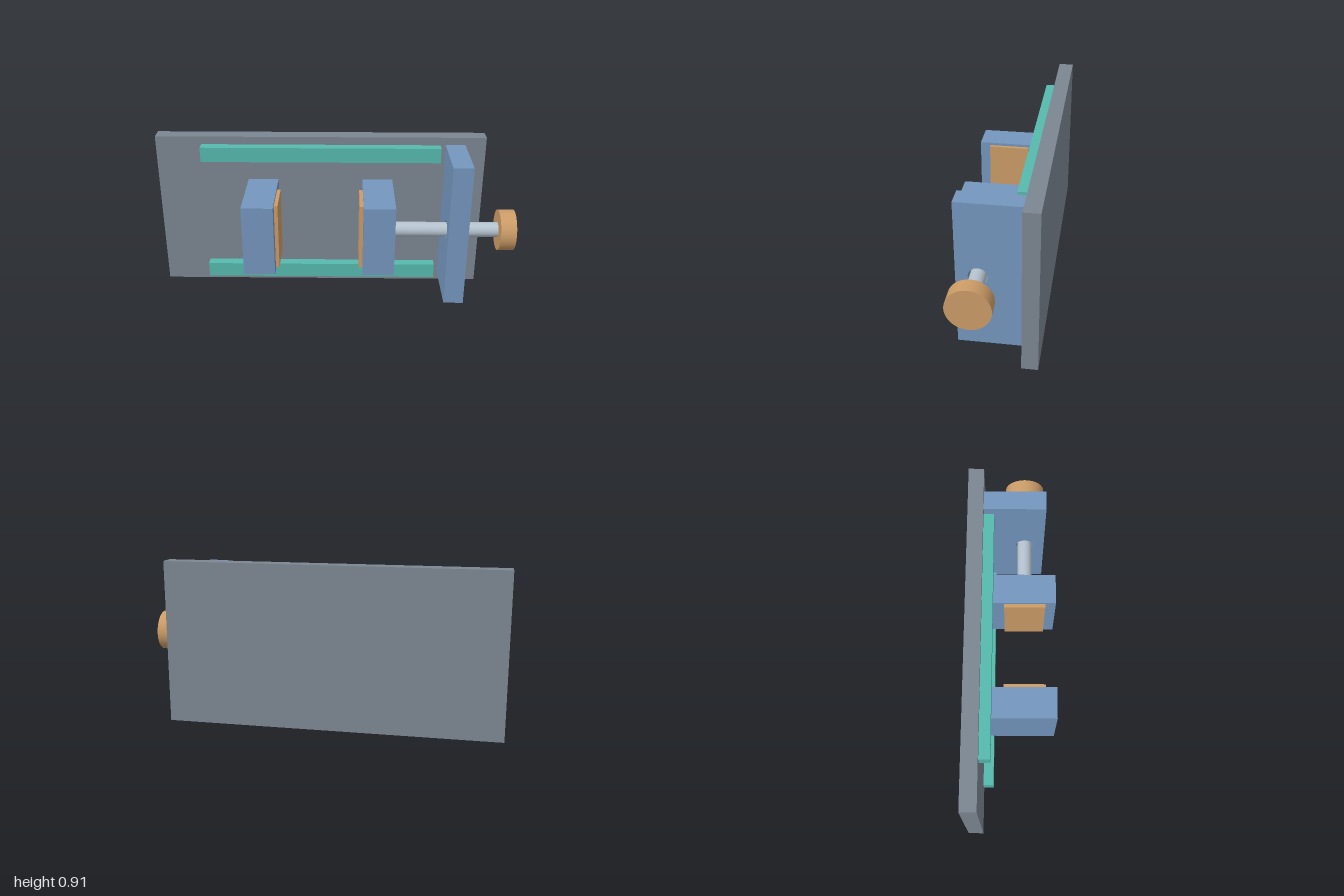
import * as THREE from 'three';

const material = (name, color) => {
  const m = new THREE.MeshStandardMaterial({ color });
  m.name = name;
  return m;
};

export function createModel() {
  const group = new THREE.Group();
  const slate = material('slate grey', 0x7c8691);
  const blue = material('steel blue', 0x7496be);
  const teal = material('teal', 0x56b9ae);
  const tan = material('tan', 0xcc9c67);
  const silver = material('silver', 0xb5c3ce);

  const add = (name, geometry, mat) => {
    const mesh = new THREE.Mesh(geometry, mat);
    mesh.name = name;
    group.add(mesh);
    return mesh;
  };
  // Box given by its limits on each axis
  const box = (name, mat, [x0, x1], [y0, y1], [z0, z1]) =>
    add(name, new THREE.BoxGeometry(x1 - x0, y1 - y0, z1 - z0), mat)
      .position.set((x0 + x1) / 2, (y0 + y1) / 2, (z0 + z1) / 2);

  const axisY = 0.455, axisZ = 0.072, plateFront = -0.157;
  // Cylinder along x on the screw axis
  const rod = (name, mat, radius, x0, x1) => {
    const mesh = add(name, new THREE.CylinderGeometry(radius, radius, x1 - x0, 48), mat);
    mesh.rotation.z = -Math.PI / 2;
    mesh.position.set((x0 + x1) / 2, axisY, axisZ);
  };

  // Back plate and guide rails
  box('backPlate', slate, [-1, 0.855], [0, 0.91], [-0.242, plateFront]);
  box('lowerRail', teal, [-0.743, 0.6], [0.045, 0.13], [plateFront, -0.1]);
  box('upperRail', teal, [-0.743, 0.6], [0.78, 0.865], [plateFront, -0.1]);

  // Jaws with facing pads
  const jawY = [0.257, 0.655], jawZ = [plateFront, 0.242];
  const padY = [0.27, 0.64], padZ = [-0.043, 0.184];
  box('fixedJaw', blue, [-0.485, -0.314], jawY, jawZ);
  box('fixedJawPad', tan, [-0.314, -0.294], padY, padZ);
  box('movingJaw', blue, [0.166, 0.337], jawY, jawZ);
  box('movingJawPad', tan, [0.146, 0.166], padY, padZ);

  // Screw support with a clearance hole, drawn in (-z, y) and extruded along x
  const outline = new THREE.Shape([
    new THREE.Vector2(-0.185, 0.045), new THREE.Vector2(-plateFront, 0.045),
    new THREE.Vector2(-plateFront, 0.867), new THREE.Vector2(-0.185, 0.867),
  ]);
  outline.holes.push(new THREE.Path().absarc(-axisZ, axisY, 0.05, 0, Math.PI * 2, true));
  const support = add('screwSupport', new THREE.ExtrudeGeometry(outline,
    { depth: 0.11, bevelEnabled: false, curveSegments: 32 }), blue);
  support.rotation.y = Math.PI / 2;
  support.position.x = 0.629;

  // Screw and knob
  rod('screw', silver, 0.041, 0.337, 0.914);
  rod('knob', tan, 0.113, 0.914, 1);

  return group;
}
